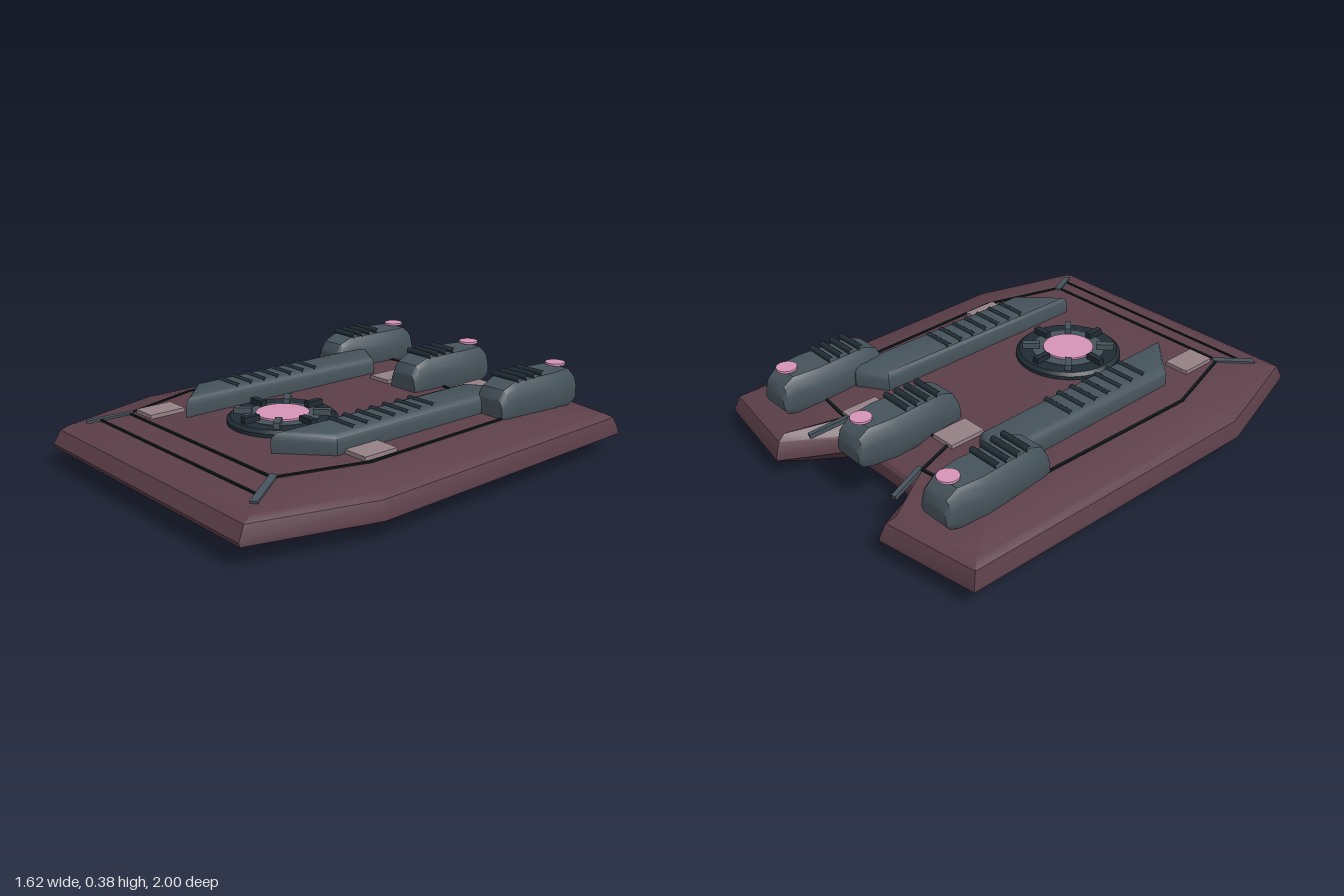
import * as THREE from 'three';
import { toCreasedNormals } from 'three/addons/utils/BufferGeometryUtils.js';

const material = (name, color) => {
  const m = new THREE.MeshStandardMaterial({ color });
  m.name = name;
  return m;
};

// Skin a stack of closed rings of [x, y, z], capped at both ends
function loft(rings, crease = 0.5) {
  const n = rings[0].length, index = [];
  for (let i = 0; i < rings.length - 1; i++) {
    for (let j = 0; j < n; j++) {
      const a = i * n + j, b = i * n + (j + 1) % n;
      index.push(a, b, b + n, a, b + n, a + n);
    }
  }
  const cap = ring => THREE.ShapeUtils.triangulateShape(ring.map(p => new THREE.Vector2(p[0], -p[2])), []);
  const top = (rings.length - 1) * n;
  cap(rings[0]).forEach(([a, b, c]) => index.push(a, c, b));
  cap(rings[rings.length - 1]).forEach(([a, b, c]) => index.push(top + a, top + b, top + c));
  const g = new THREE.BufferGeometry();
  g.setAttribute('position', new THREE.Float32BufferAttribute(rings.flat(2), 3));
  g.setIndex(index);
  return toCreasedNormals(g, crease);
}

export function createModel() {
  const hullRed = material('hull maroon', 0x5c3f49);
  const slate = material('slate grey', 0x46535b);
  const dark = material('dark slate', 0x202c34);
  const black = material('seam black', 0x11181c);
  const pink = material('glow pink', 0xd695b8);
  const plateGrey = material('plate mauve', 0x968187);

  const model = new THREE.Group();
  const add = (name, geometry, mat, x = 0, y = 0, z = 0, parent = model) => {
    const mesh = new THREE.Mesh(geometry, mat);
    mesh.name = name;
    mesh.position.set(x, y, z);
    parent.add(mesh);
    return mesh;
  };
  // Straight bar from a to b
  const beam = (name, a, b, w, h, mat) => {
    const p = new THREE.Vector3(...a), q = new THREE.Vector3(...b);
    const mesh = add(name, new THREE.BoxGeometry(w, h, p.distanceTo(q)), mat);
    mesh.position.copy(p).add(q).multiplyScalar(0.5);
    mesh.lookAt(q);
  };
  // Open rod across x
  const rod = (name, length, r, x, y, z, parent) => {
    const g = new THREE.CylinderGeometry(r, r, length, 10, 1, true).rotateZ(Math.PI / 2);
    add(name, g, dark, x, y, z, parent);
  };

  // Hull: half outlines [x, z, own height], mirrored into full rings
  const hullRing = (y, half) => {
    const right = half.map(([x, z, own = y]) => [x, own, z]);
    return [...right, ...right.map(([x, h, z]) => [-x, h, z]).reverse()];
  };
  add('hull', loft([
    hullRing(0, [[0.53, 0.75], [0.65, 0.42], [0.64, -0.79], [0.37, -0.84], [0.25, -0.67]]),
    hullRing(0.088, [[0.655, 0.995], [0.81, 0.48], [0.778, -0.93], [0.34, -1], [0.22, -0.74, 0.07]]),
    hullRing(0.105, [[0.655, 1], [0.81, 0.48], [0.778, -0.93], [0.34, -1], [0.22, -0.742, 0.085]]),
    hullRing(0.162, [[0.645, 0.97], [0.793, 0.475], [0.762, -0.91], [0.35, -0.975], [0.222, -0.74, 0.13]]),
    hullRing(0.18, [[0.63, 0.93], [0.765, 0.465], [0.735, -0.88], [0.365, -0.94], [0.225, -0.73, 0.145]]),
    hullRing(0.22, [[0.49, 0.73], [0.6, 0.36], [0.57, -0.68], [0.25, -0.725], [0.19, -0.55]]),
  ]), hullRed);

  // Dark seam round the deck, and a second one on the front slope
  const seam = hullRing(0.22, [[0.49, 0.73], [0.6, 0.36], [0.57, -0.68], [0.25, -0.725], [0.19, -0.55]]);
  seam.forEach((p, i) => beam('deckSeam', p, seam[(i + 1) % seam.length], 0.012, 0.01, black));
  beam('frontSeam', [-0.54, 0.2, 0.835], [0.54, 0.2, 0.835], 0.01, 0.01, black);

  for (const s of [-1, 1]) {
    const side = s > 0 ? 'left' : 'right';
    // Corner ribs
    beam(side + 'FrontRib', [s * 0.48, 0.222, 0.715], [s * 0.58, 0.193, 0.88], 0.03, 0.014, slate);
    beam(side + 'RearRib', [s * 0.235, 0.218, -0.72], [s * 0.275, 0.185, -0.88], 0.02, 0.02, slate);

    // Long side pod with slanted ends and rounded top
    const plan = [[0.285, 0.58], [0.47, 0.41], [0.47, -0.54], [0.41, -0.55], [0.285, -0.47]];
    const shape = new THREE.Shape(plan.map(([x, z]) => new THREE.Vector2(s * x, -z)));
    const pod = new THREE.ExtrudeGeometry(shape, {
      depth: 0.05, bevelThickness: 0.035, bevelSize: 0.035, bevelOffset: -0.035, bevelSegments: 3,
    }).rotateX(-Math.PI / 2);
    add(side + 'Pod', toCreasedNormals(pod, 0.6), slate, 0, 0.217, 0);
    for (let i = 0; i < 7; i++) rod(side + 'PodRod', 0.145, 0.013, s * 0.37, 0.298, -0.13 + i * 0.0715, model);
  }

  // Rear engines: chamfered sections [z, half width, bottom, top]
  const stations = [
    [-0.88, 0.068, 0.225, 0.285], [-0.865, 0.08, 0.205, 0.325], [-0.82, 0.088, 0.195, 0.358],
    [-0.71, 0.107, 0.195, 0.36], [-0.47, 0.088, 0.195, 0.36], [-0.41, 0.082, 0.195, 0.335],
    [-0.385, 0.074, 0.205, 0.295],
  ];
  const engine = loft(stations.map(([z, w, b, t]) => {
    const h = t - b;
    const half = [[w * 0.85, b], [w, b + h * 0.2], [w * 0.97, b + h * 0.6], [w * 0.85, b + h * 0.87], [w * 0.68, t]];
    return [...half, ...half.map(([x, y]) => [-x, y]).reverse()].map(([x, y]) => [x, z, -y]);
  }), 0.6).rotateX(Math.PI / 2);
  [['right', -0.51], ['centre', 0], ['left', 0.51]].forEach(([label, x]) => {
    const group = new THREE.Group();
    group.name = label + 'Engine';
    group.position.x = x;
    model.add(group);
    add('engineBody', engine, slate, 0, 0, 0, group);
    for (let i = 0; i < 4; i++) rod('engineRod', 0.145, 0.013, 0, 0.369, -0.64 + i * 0.05, group);
    add('engineLight', new THREE.CylinderGeometry(0.043, 0.043, 0.01, 24), pink, 0, 0.372, -0.81, group);
  });

  // Round turret: dark rim, grey ring, glowing core and eight spokes
  const turret = new THREE.Group();
  turret.name = 'turret';
  turret.position.set(0, 0, 0.3);
  model.add(turret);
  const rim = [[0.23, 0.21], [0.23, 0.235], [0.215, 0.248], [0.155, 0.248], [0.15, 0.22]];
  const rimGeometry = new THREE.LatheGeometry(rim.map(p => new THREE.Vector2(...p)), 40);
  add('turretRim', toCreasedNormals(rimGeometry, 0.5), dark, 0, 0, 0, turret);
  add('turretRing', new THREE.CylinderGeometry(0.157, 0.157, 0.04, 40), slate, 0, 0.23, 0, turret);
  add('turretCore', new THREE.CylinderGeometry(0.11, 0.11, 0.04, 40), pink, 0, 0.238, 0, turret);
  for (let i = 0; i < 8; i++) {
    const a = i * Math.PI / 4;
    const spoke = add('turretSpoke', new THREE.BoxGeometry(0.028, 0.035, 0.075), i % 2 ? slate : dark,
      Math.sin(a) * 0.163, 0.256, Math.cos(a) * 0.163, turret);
    spoke.rotation.y = a;
  }

  // Ribbed access plates on the deck
  [[-0.165, -0.475], [0.21, -0.64], [0.525, 0.29], [-0.42, 0.62]].forEach(([x, z]) => {
    add('accessPlate', new THREE.BoxGeometry(0.115, 0.03, 0.165), plateGrey, x, 0.222, z);
  });
  return model;
}
